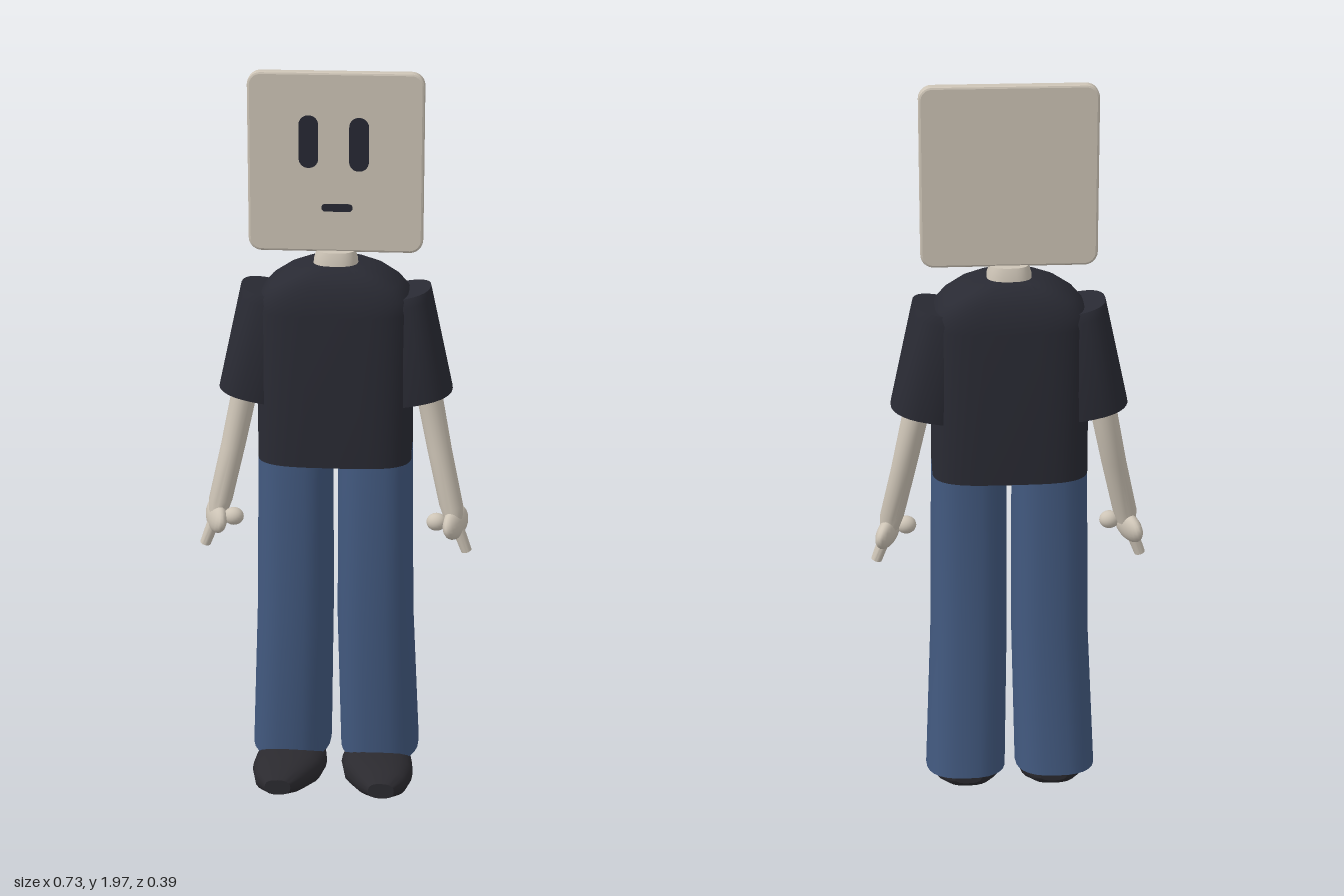
import * as THREE from 'three';
import { toCreasedNormals } from 'three/addons/utils/BufferGeometryUtils.js';

const CX = -0.05; // the figure's own mirror plane
const CZ = -0.043;

const material = (name, color) => {
  const m = new THREE.MeshStandardMaterial({ color });
  m.name = name;
  return m;
};

// Skin a row of superellipse rings { c: centre, r: radii, slope: [su, sv] }.
// axis 'y': rings lie flat and go upwards; axis 'z': rings stand upright and go backwards.
function loft(rings, axis = 'y', power = 2.5, sides = 28, crease = 0.6) {
  const pos = [], idx = [];
  const round = (t) => Math.sign(t) * Math.abs(t) ** (2 / power);
  for (const { c, r, slope = [0, 0] } of rings) {
    for (let j = 0; j < sides; j++) {
      const a = (j / sides) * Math.PI * 2;
      const u = r[0] * round(Math.cos(a)), v = r[1] * round(Math.sin(a));
      if (axis === 'y') pos.push(c[0] + u, c[1] + slope[0] * u + slope[1] * v, c[2] + v);
      else pos.push(c[0] + u, c[1] + v, c[2]);
    }
  }
  const last = rings.length - 1, start = rings.length * sides;
  pos.push(...rings[0].c, ...rings[last].c);
  for (let j = 0; j < sides; j++) {
    const k = (j + 1) % sides;
    for (let i = 0; i < last; i++) {
      const a = i * sides + j, b = i * sides + k;
      idx.push(a, a + sides, b, b, a + sides, b + sides);
    }
    idx.push(start, j, k, start + 1, last * sides + k, last * sides + j);
  }
  const g = new THREE.BufferGeometry();
  g.setAttribute('position', new THREE.Float32BufferAttribute(pos, 3));
  g.setIndex(idx);
  return toCreasedNormals(g, crease);
}

function roundedRect(w, h, r) {
  const s = new THREE.Shape(), x = w / 2 - r, y = h / 2 - r;
  s.absarc(x, y, r, 0, Math.PI / 2);
  s.absarc(-x, y, r, Math.PI / 2, Math.PI);
  s.absarc(-x, -y, r, Math.PI, Math.PI * 1.5);
  s.absarc(x, -y, r, Math.PI * 1.5, Math.PI * 2);
  s.closePath();
  return s;
}

export function createModel() {
  const model = new THREE.Group();
  model.name = 'figure';
  const skin = material('skin', 0xcdc4b6);
  const shirt = material('shirt', 0x292a33);
  const denim = material('denim', 0x42597f);
  const shoeDark = material('shoeDark', 0x2b2a2f);
  const ink = material('ink', 0x262833);

  const add = (name, geometry, mat, x = 0, y = 0, z = 0, parent = model) => {
    const mesh = new THREE.Mesh(geometry, mat);
    mesh.name = name;
    mesh.position.set(x, y, z);
    parent.add(mesh);
    return mesh;
  };

  // Flat square head
  const bevel = 0.006;
  const headGeometry = new THREE.ExtrudeGeometry(roundedRect(0.45 - 2 * bevel, 0.465 - 2 * bevel, 0.028), {
    depth: 0.034 - 2 * bevel, bevelEnabled: true, bevelSize: bevel, bevelThickness: bevel, bevelSegments: 2, curveSegments: 6,
  });
  add('head', headGeometry, skin, CX, 1.7375, -0.06 + bevel);

  // Face painted as thin plates
  const plate = (name, w, h, x, y) => add(name,
    new THREE.ExtrudeGeometry(roundedRect(w, h, Math.min(w, h) * 0.48), { depth: 0.004, bevelEnabled: false, curveSegments: 6 }),
    ink, x, y, -0.028);
  plate('rightEye', 0.05, 0.135, -0.119, 1.793);
  plate('leftEye', 0.05, 0.138, 0.01, 1.787);
  plate('mouth', 0.08, 0.02, -0.046, 1.622);

  // Neck
  add('neck', loft([
    { c: [CX, 1.45, CZ], r: [0.06, 0.054] },
    { c: [CX, 1.485, CZ], r: [0.057, 0.051] },
    { c: [CX, 1.508, CZ], r: [0.05, 0.043] },
  ]), skin);

  // Shirt body with rounded shoulders
  const torso = [
    [0.95, 0.204, 0.128], [1.36, 0.203, 0.128], [1.395, 0.198, 0.124],
    [1.43, 0.168, 0.114], [1.458, 0.125, 0.1], [1.475, 0.08, 0.08],
  ];
  add('shirtBody', loft(torso.map(([y, rx, rz]) => ({ c: [CX, y, CZ], r: [rx, rz] })), 'y', 3.6, 40), shirt);

  for (const s of [-1, 1]) {
    const side = new THREE.Group();
    side.name = s > 0 ? 'leftLimbs' : 'rightLimbs';
    model.add(side);
    // Ring placed at a distance outwards from the mirror plane
    const ring = (out, y, z, rx, rv, su = 0, sv = 0) => ({ c: [CX + s * out, y, z], r: [rx, rv], slope: [s * su, sv] });

    // Sleeve
    add('sleeve', loft([
      ring(0.212, 1.117, -0.047, 0.096, 0.101, 0.2),
      ring(0.168, 1.375, -0.047, 0.084, 0.098, 0.2),
      ring(0.165, 1.398, -0.047, 0.082, 0.088, 0.2),
    ]), shirt, 0, 0, 0, side);

    // Arm, leaning forward towards the hand
    add('arm', loft([
      ring(0.316, 0.775, -0.026, 0.025, 0.027),
      ring(0.31, 0.81, -0.03, 0.032, 0.029),
      ring(0.276, 0.96, -0.052, 0.033, 0.036),
      ring(0.243, 1.12, -0.077, 0.035, 0.04),
      ring(0.21, 1.28, -0.06, 0.035, 0.04),
    ], 'y', 2, 20), skin, 0, 0, 0, side);

    // Hand: flat palm, thumb and a short finger
    const ball = new THREE.SphereGeometry(1, 20, 14);
    const palm = add('palm', ball, skin, CX + s * 0.322, 0.762, -0.03, side);
    palm.scale.set(0.025, 0.042, 0.068);
    palm.rotation.set(0, -s * 0.35, s * 0.2, 'ZYX');
    const thumb = add('thumb', ball, skin, CX + s * 0.272, 0.772, -0.005, side);
    thumb.scale.set(0.027, 0.024, 0.024);
    add('finger', loft([
      ring(0.353, 0.683, -0.026, 0.014, 0.018, 0.3),
      ring(0.328, 0.75, -0.026, 0.016, 0.02, 0.3),
    ], 'y', 2, 16), skin, 0, 0, 0, side);

    // Trouser leg, flaring backwards below the knee
    add('trouserLeg', loft([
      ring(0.122, 0.088, -0.072, 0.108, 0.122, 0, -0.09),
      ring(0.109, 0.5, -0.037, 0.103, 0.117),
      ring(0.106, 0.97, -0.043, 0.099, 0.112),
    ], 'y', 2.6, 28, 0.4), denim, 0, 0, 0, side);

    // Shoe, from toe to heel
    add('shoe', loft([
      ring(0.14, 0.066, 0.198, 0.035, 0.022),
      ring(0.138, 0.062, 0.15, 0.068, 0.039),
      ring(0.126, 0.058, 0.08, 0.094, 0.05),
      ring(0.118, 0.054, 0.01, 0.098, 0.049),
      ring(0.117, 0.056, -0.07, 0.086, 0.042),
      ring(0.117, 0.063, -0.12, 0.06, 0.03),
      ring(0.117, 0.068, -0.14, 0.036, 0.016),
    ], 'z', 2.5, 20), shoeDark, 0, 0, 0, side);
  }
  return model;
}
